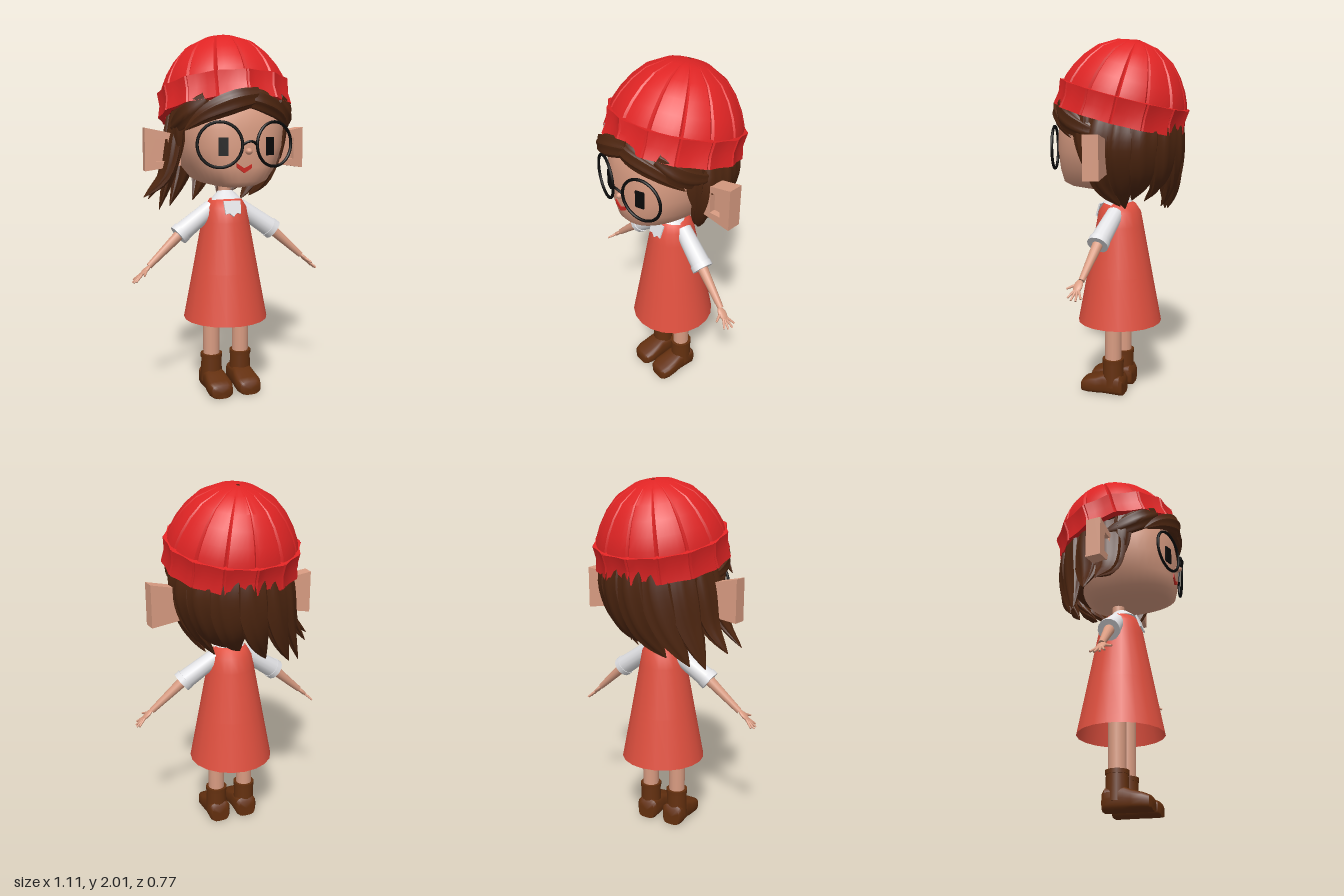
import * as THREE from 'three';
import { toCreasedNormals } from 'three/addons/utils/BufferGeometryUtils.js';

const V = (x, y, z) => new THREE.Vector3(x, y, z);
const mat = (name, color, side = THREE.FrontSide) => {
  const m = new THREE.MeshStandardMaterial({ color, side });
  m.name = name;
  return m;
};

// Skin through closed rings of points; rings run counter-clockwise about the direction of travel
function loft(rings, caps = true) {
  const n = rings[0].length, pos = [], idx = [];
  rings.forEach(r => r.forEach(p => pos.push(p.x, p.y, p.z)));
  for (let i = 0; i < rings.length - 1; i++)
    for (let j = 0; j < n; j++) {
      const a = i * n + j, b = i * n + (j + 1) % n;
      idx.push(a, b, b + n, a, b + n, a + n);
    }
  if (caps) [0, rings.length - 1].forEach(i => {
    const c = rings[i].reduce((s, p) => s.add(p), V(0, 0, 0)).divideScalar(n);
    const k = pos.length / 3;
    pos.push(c.x, c.y, c.z);
    for (let j = 0; j < n; j++) {
      const a = i * n + j, b = i * n + (j + 1) % n;
      if (i === 0) idx.push(k, b, a); else idx.push(k, a, b);
    }
  });
  const g = new THREE.BufferGeometry();
  g.setAttribute('position', new THREE.Float32BufferAttribute(pos, 3));
  g.setIndex(idx);
  g.computeVertexNormals();
  return g;
}

const spow = (v, p) => Math.sign(v) * Math.abs(v) ** p;

// Tapered, ridged lock of hair along a path, lying flat against the head
function lockGeometry(points, width, thick) {
  const curve = new THREE.CatmullRomCurve3(points), rings = [];
  for (let i = 0; i <= 14; i++) {
    const t = i / 14, c = curve.getPointAt(t), tan = curve.getTangentAt(t);
    const out = V(c.x, 0, c.z).normalize();
    const w = V(0, 0, 0).crossVectors(out, tan).normalize();
    const o = V(0, 0, 0).crossVectors(tan, w);
    const k = Math.max(0.03, Math.sin(Math.PI * (0.25 + 0.75 * t)) ** 0.8);
    const ring = [];
    for (let j = 0; j < 28; j++) {
      const a = j / 28 * Math.PI * 2, r = k * (1 + 0.1 * Math.cos(a * 7));
      ring.push(c.clone().addScaledVector(w, r * width * Math.cos(a)).addScaledVector(o, r * thick * Math.sin(a)));
    }
    rings.push(ring);
  }
  return toCreasedNormals(loft(rings), 0.6);
}

// Fourteen-panelled ring; steps are [fraction of the panel, radius factor]
const PANELS = 14;
function panelRing(r, y, steps) {
  const ring = [];
  for (let p = 0; p < PANELS; p++)
    for (const [u, f] of steps) {
      const a = (p + u) / PANELS * Math.PI * 2;
      ring.push(V(Math.sin(a) * r * f, y, Math.cos(a) * r * f));
    }
  return ring;
}

export function createModel() {
  const root = new THREE.Group();
  const skin = mat('skin', 0xd99c82), red = mat('hat red', 0xe02424, THREE.DoubleSide);
  const coral = mat('dress coral', 0xe0503f, THREE.DoubleSide), white = mat('blouse white', 0xe2e2e5, THREE.DoubleSide);
  const hair = mat('hair brown', 0x4e2610), boot = mat('boot brown', 0x64300f);
  const black = mat('black', 0x0a0a0a), lip = mat('lip red', 0xcc2a22);

  const add = (name, geo, m, parent = root) => {
    const o = new THREE.Mesh(geo, m);
    o.name = name;
    parent.add(o);
    return o;
  };
  const limb = (name, a, b, ra, rb, m, parent = root, open = false) => {
    const o = add(name, new THREE.CylinderGeometry(rb, ra, a.distanceTo(b), 14, 1, open), m, parent);
    o.position.copy(a).lerp(b, 0.5);
    o.quaternion.setFromUnitVectors(V(0, 1, 0), b.clone().sub(a).normalize());
    return o;
  };
  const plate = (pts, depth) => new THREE.ExtrudeGeometry(
    new THREE.Shape(pts.map(p => new THREE.Vector2(...p))), { depth, bevelEnabled: false });

  // Head: rings of [y, half width, front z, back depth]
  const headRings = [[1.185, 0.08, 0.2, 0.08], [1.2, 0.14, 0.285, 0.14], [1.225, 0.19, 0.325, 0.19], [1.3, 0.25, 0.336, 0.24],
    [1.4, 0.288, 0.34, 0.27], [1.5, 0.3, 0.335, 0.28], [1.6, 0.3, 0.32, 0.27], [1.7, 0.27, 0.26, 0.24]];
  add('head', loft(headRings.map(([y, a, f, b]) => Array.from({ length: 40 }, (_, j) => {
    const t = j / 40 * Math.PI * 2, s = spow(Math.sin(t), 0.8), c = spow(Math.cos(t), 0.8);
    return V(a * s, y, c * (c > 0 ? f : b));
  }))), skin);
  const nose = add('nose', new THREE.SphereGeometry(0.022, 12, 8), skin);
  nose.position.set(0, 1.385, 0.35);
  nose.scale.set(0.8, 0.8, 1.1);
  add('mouth', plate([[-0.062, 1.325], [-0.06, 1.302], [-0.02, 1.273], [0.022, 1.298], [0.022, 1.318], [-0.02, 1.298]], 0.009), lip)
    .position.z = 0.331;
  limb('neck', V(0, 1.08, -0.01), V(0, 1.22, -0.01), 0.036, 0.036, skin);

  // Glasses bridge
  add('glassesBridge', new THREE.TubeGeometry(new THREE.QuadraticBezierCurve3(
    V(-0.037, 1.42, 0.365), V(0, 1.455, 0.39), V(0.037, 1.42, 0.365)), 10, 0.007, 8), black);

  // Paired parts
  for (const s of [1, -1]) {
    const side = new THREE.Group();
    side.name = s > 0 ? 'leftSide' : 'rightSide';
    side.scale.x = s;
    root.add(side);

    const rim = add('glassesRim', new THREE.TorusGeometry(0.116, 0.008, 8, 40), black, side);
    rim.position.set(0.152, 1.42, 0.332);
    rim.rotation.y = 0.29;
    const eye = add('eye', new THREE.BoxGeometry(0.05, 0.095, 0.009), black, side);
    eye.position.set(0.13, 1.41, 0.325);
    eye.rotation.y = 0.36;

    // Flared ear with a square hollow
    const ear = new THREE.Group();
    ear.name = 'ear';
    const outline = [[-0.03, 1.3], [0.165, 1.272], [0.165, 1.505], [-0.03, 1.465]];
    const rimShape = new THREE.Shape(outline.map(p => new THREE.Vector2(...p)));
    rimShape.holes.push(new THREE.Path([[0.04, 1.325], [0.04, 1.445], [0.105, 1.445], [0.105, 1.325]].map(p => new THREE.Vector2(...p))));
    add('earFront', new THREE.ExtrudeGeometry(rimShape, { depth: 0.035, bevelEnabled: false }), skin, ear).position.z = 0.015;
    add('earBack', plate(outline, 0.05), skin, ear).position.z = -0.035;
    ear.position.x = 0.3;
    ear.rotation.y = 0.1;
    side.add(ear);

    // Sleeve, arm and hand
    const elbow = V(0.28, 0.918, 0.025), wrist = V(0.46, 0.755, 0.046);
    limb('sleeve', V(0.085, 1.055, 0), elbow, 0.048, 0.056, white, side);
    limb('sleeveCuff', V(0.262, 0.932, 0.024), V(0.287, 0.912, 0.026), 0.06, 0.06, white, side);
    limb('arm', V(0.24, 0.952, 0.022), wrist, 0.033, 0.017, skin, side);
    const d = V(0.74, -0.67, 0), palmAt = wrist.clone().addScaledVector(d, 0.034).setZ(0.054);
    const palm = add('palm', new THREE.SphereGeometry(1, 14, 10), skin, side);
    palm.position.copy(palmAt);
    palm.scale.set(0.042, 0.012, 0.025);
    palm.rotation.z = Math.atan2(d.y, d.x);
    [[-0.5, 0.06], [-0.16, 0.068], [0.16, 0.066], [0.48, 0.058], [1.0, 0.05]].forEach(([a, len], i) => {
      const dir = d.clone().multiplyScalar(Math.cos(a)).add(V(0, 0, Math.sin(a)));
      const from = palmAt.clone().addScaledVector(d, i < 4 ? 0.024 : -0.005).add(V(0, 0, Math.sin(a) * 0.02));
      limb('finger', from, from.clone().addScaledVector(dir, len), 0.008, 0.005, skin, side);
    });

    // Leg and ankle boot
    limb('leg', V(0.089, 0.15, 0.012), V(0.089, 0.62, 0.012), 0.047, 0.05, skin, side);
    limb('bootShaft', V(0.089, 0.05, 0.012), V(0.089, 0.205, 0.012), 0.063, 0.058, boot, side);
    limb('bootCuff', V(0.089, 0.188, 0.012), V(0.089, 0.21, 0.012), 0.063, 0.063, boot, side);
    const foot = [[-0.056, 0.052, 0.1], [-0.04, 0.064, 0.12], [0.06, 0.062, 0.12], [0.1, 0.068, 0.103], [0.155, 0.072, 0.088],
      [0.19, 0.062, 0.074], [0.2, 0.045, 0.06]];
    add('bootFoot', toCreasedNormals(loft(foot.map(([z, w, h]) => Array.from({ length: 20 }, (_, j) => {
      const t = j / 20 * Math.PI * 2;
      return V(0.085 + w * spow(Math.cos(t), 0.55), h / 2 * (1 + spow(Math.sin(t), 0.55)), z);
    }))), 0.7), boot, side);

    // Lock in front of the ear and hair along the temple
    add('sideLock', lockGeometry([V(0.29, 1.64, 0.11), V(0.3, 1.5, 0.11), V(0.297, 1.33, 0.1)], 0.05, 0.025), hair, side);
    add('templeLock', lockGeometry([V(0.2, 1.65, 0.27), V(0.28, 1.58, 0.2), V(0.31, 1.52, 0.08), V(0.31, 1.5, -0.04)], 0.06, 0.03), hair, side);
  }

  // Swept fringe
  add('fringe', lockGeometry([V(0.06, 1.67, 0.335), V(-0.08, 1.64, 0.355), V(-0.22, 1.575, 0.305), V(-0.315, 1.49, 0.235)], 0.055, 0.03), hair);
  add('fringe', lockGeometry([V(-0.06, 1.67, 0.325), V(0.08, 1.64, 0.335), V(0.21, 1.58, 0.275), V(0.3, 1.48, 0.17)], 0.052, 0.03), hair);

  // Hair mass behind the head
  const mass = add('backHair', new THREE.SphereGeometry(1, 28, 18), hair);
  mass.position.set(0, 1.46, -0.1);
  mass.scale.set(0.305, 0.25, 0.23);

  // Back locks blown towards the right: [angle round the head, tip]
  [[-98, -0.475, 1.13, 0.01], [-74, -0.43, 1.11, -0.07], [-50, -0.345, 1.035, -0.16], [-25, -0.27, 1.05, -0.2], [0, -0.13, 1.08, -0.2],
    [25, 0, 1.12, -0.14], [50, 0.06, 1.13, -0.09], [74, 0.12, 1.09, -0.07], [95, 0.17, 1.11, -0.06]].forEach(([deg, x, y, z]) => {
    const a = deg * Math.PI / 180, sx = Math.sin(a), sz = -Math.cos(a), mix = THREE.MathUtils.lerp;
    add('backLock', lockGeometry([V(0.27 * sx, 1.63, 0.28 * sz - 0.03), V(0.305 * sx, 1.45, 0.305 * sz - 0.015),
      V(mix(0.3 * sx, x, 0.35), 1.25, mix(0.31 * sz, z, 0.2)), V(x, y, z)], 0.09, 0.04), hair);
  });

  // Knitted hat, tipped backwards
  const hat = new THREE.Group();
  hat.name = 'hat';
  hat.position.set(0, 1.71, -0.03);
  hat.rotation.x = -0.258;
  root.add(hat);
  const domeSteps = [[0, 0.955], [0.07, 0.99], [0.3, 0.992], [0.5, 0.988], [0.7, 0.992], [0.93, 0.99]];
  const bandSteps = [[0, 0.982], [0.05, 1], [0.3, 0.972], [0.5, 0.962], [0.7, 0.972], [0.95, 1]];
  add('hatDome', toCreasedNormals(loft([[0.357, -0.02], [0.345, 0.03], [0.318, 0.09], [0.273, 0.16], [0.212, 0.225], [0.115, 0.278], [0.01, 0.298]]
    .map(([r, y]) => panelRing(r, y, domeSteps)), false), 0.5), red, hat);
  add('hatBand', toCreasedNormals(loft([[0.335, -0.137], [0.375, -0.137], [0.362, -0.07], [0.37, 0], [0.335, 0.004]]
    .map(([r, y]) => panelRing(r, y, bandSteps)), false), 0.35), red, hat);
  const button = add('hatCentre', new THREE.SphereGeometry(0.012, 10, 6), hair, hat);
  button.position.y = 0.293;
  button.scale.y = 0.5;
  const crown = add('crownHair', new THREE.SphereGeometry(1, 28, 14), hair, hat);
  crown.position.y = -0.1;
  crown.scale.set(0.335, 0.07, 0.335);

  // Pinafore dress, hollow below
  const dress = add('dress', new THREE.LatheGeometry([[0.24, 0.42], [0.187, 0.7], [0.135, 0.98], [0.12, 1.06], [0.09, 1.105], [0.03, 1.125]]
    .map(p => new THREE.Vector2(...p)), 20), coral);
  dress.position.z = 0.004;

  // Collar and blouse front
  limb('collar', V(0, 1.098, 0.008), V(0, 1.15, 0), 0.094, 0.042, white, root, true);
  const bib = add('blouseFront', plate([[0, 0], [0.022, 0.02], [0.045, 0.014], [0.05, 0.09], [-0.05, 0.09], [-0.045, 0.014], [-0.022, 0.02]], 0.009), white);
  bib.position.set(0, 1.015, 0.132);
  bib.rotation.x = -0.32;
  return root;
}
